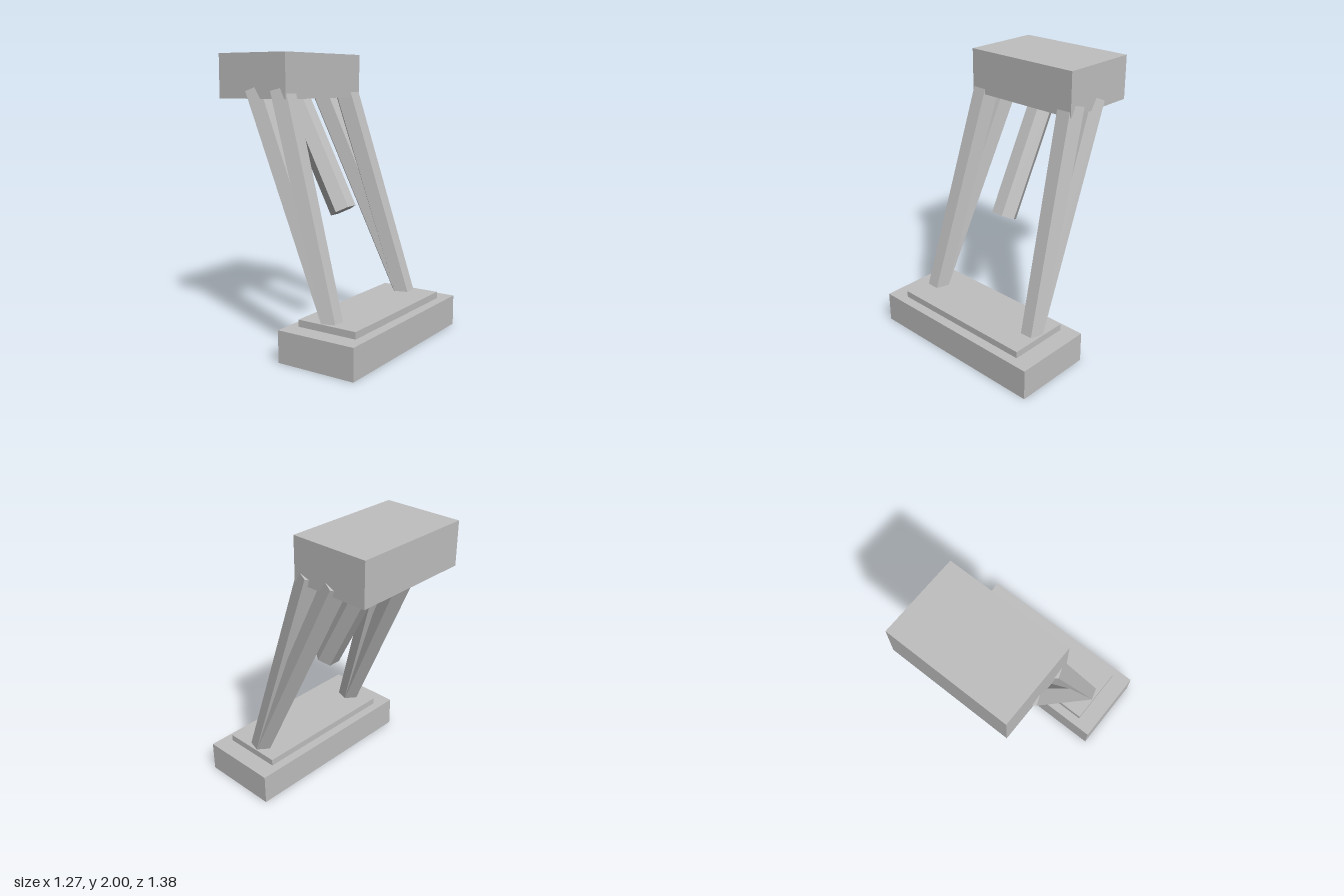
import * as THREE from 'three';

export function createModel() {
  const model = new THREE.Group();
  model.name = 'leaningStand';
  const grey = new THREE.MeshStandardMaterial({ color: 0xbfbfbf, flatShading: true });
  grey.name = 'plain grey';

  function box(name, x0, x1, y0, y1, depth) {
    const mesh = new THREE.Mesh(new THREE.BoxGeometry(x1 - x0, y1 - y0, depth), grey);
    mesh.name = name;
    mesh.position.set((x0 + x1) / 2, (y0 + y1) / 2, 0);
    model.add(mesh);
  }

  // Straight prism between two points, with one flat side facing +x
  function beam(name, bottom, top, rBottom, rTop, sides) {
    const a = new THREE.Vector3(...bottom);
    const b = new THREE.Vector3(...top);
    const axis = b.clone().sub(a);
    const start = Math.PI / 2 - Math.PI / sides;
    const geometry = new THREE.CylinderGeometry(rTop, rBottom, axis.length(), sides, 1, false, start);
    const mesh = new THREE.Mesh(geometry, grey);
    mesh.name = name;
    mesh.position.copy(a).add(b).multiplyScalar(0.5);
    mesh.quaternion.setFromUnitVectors(new THREE.Vector3(0, 1, 0), axis.normalize());
    model.add(mesh);
  }

  // Blocks
  box('base', 0.055, 0.635, 0, 0.22, 1.376);
  box('basePlate', 0.12, 0.565, 0.21, 0.268, 1.11);
  box('topBlock', -0.635, -0.057, 1.692, 2, 0.89);

  // Two five-sided tapered legs on each side, meeting at the base plate
  for (const [side, s] of [['left', 1], ['right', -1]]) {
    const foot = [0.327, 0.25, 0.474 * s];
    beam(side + 'OuterLeg', foot, [-0.14, 1.75, 0.381 * s], 0.077, 0.091, 5);
    beam(side + 'InnerLeg', foot, [-0.355, 1.75, 0.381 * s], 0.077, 0.091, 5);
  }

  // Short six-sided strut hanging from the top block
  beam('centreStrut', [0.1, 0.913, 0], [-0.335, 1.75, 0], 0.094, 0.094, 6);

  return model;
}
